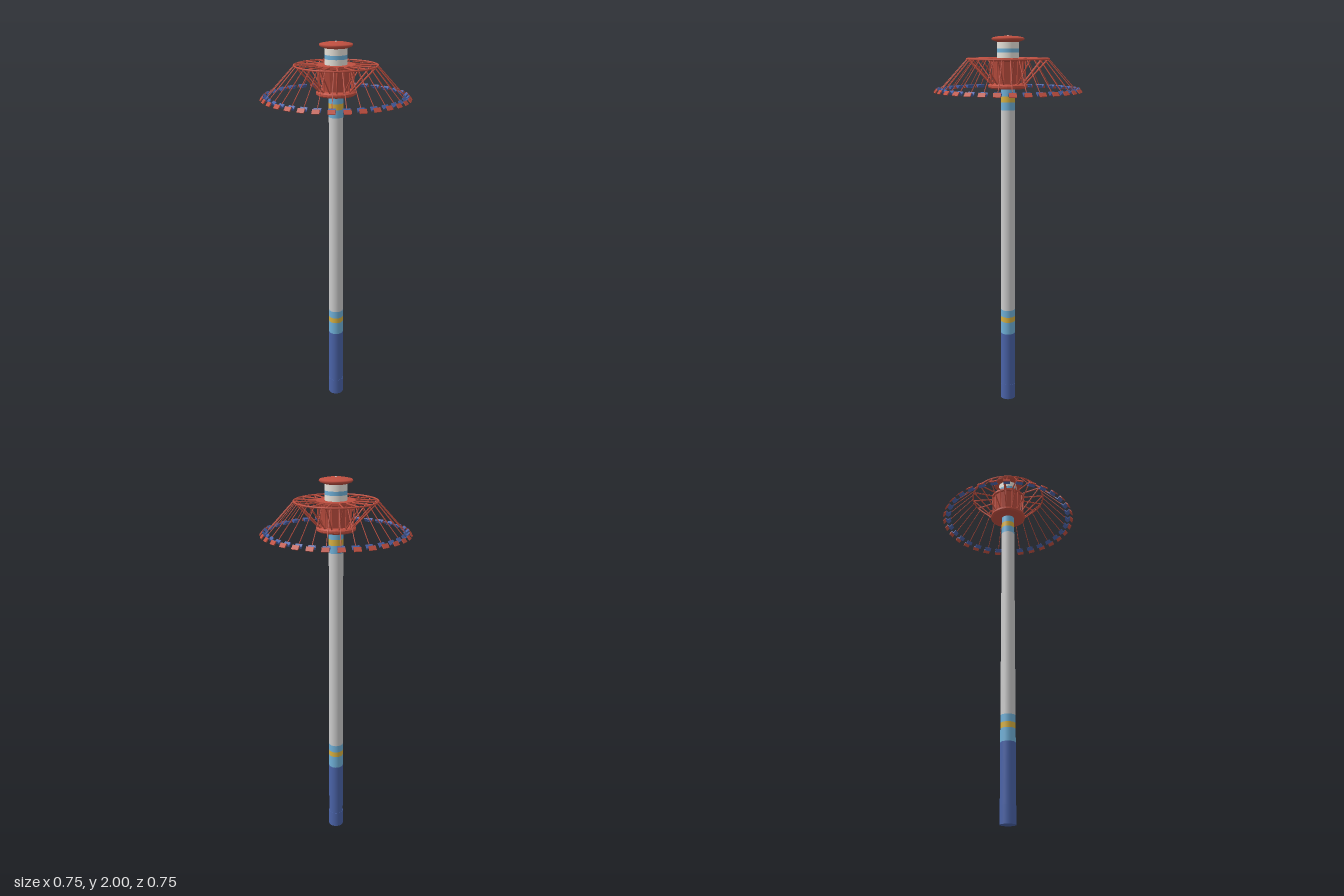
import * as THREE from 'three';

const mat = (color, flatShading = false) =>
  new THREE.MeshStandardMaterial({ color, flatShading, side: THREE.DoubleSide });
const red = mat(0xbf4f40), redFlat = mat(0xbf4f40, true), blue = mat(0x4a63a8);
const sky = mat(0x6fb0d8), yellow = mat(0xd8b040), grey = mat(0xcccccc), white = mat(0xe6e2da);

function add(parent, name, geometry, material) {
  const mesh = new THREE.Mesh(geometry, material);
  mesh.name = name;
  parent.add(mesh);
  return mesh;
}

// Straight bar between two [radius, height] points in the x-y plane
function bar(parent, name, a, b, radius, sides = 6) {
  const d = new THREE.Vector3(b[0] - a[0], b[1] - a[1], 0);
  const mesh = add(parent, name, new THREE.CylinderGeometry(radius, radius, d.length(), sides), red);
  mesh.position.set((a[0] + b[0]) / 2, (a[1] + b[1]) / 2, 0);
  mesh.quaternion.setFromUnitVectors(new THREE.Vector3(0, 1, 0), d.normalize());
  return mesh;
}

// Thin slab following two [radius, height] points, spanning the seat width
function slab(parent, name, a, b, material) {
  const dx = b[0] - a[0], dy = b[1] - a[1];
  const mesh = add(parent, name, new THREE.BoxGeometry(Math.hypot(dx, dy) + 0.003, 0.005, 0.036), material);
  mesh.position.set((a[0] + b[0]) / 2, (a[1] + b[1]) / 2, 0);
  mesh.rotation.z = Math.atan2(dy, dx);
}

const lathe = (points, segments) =>
  new THREE.LatheGeometry(points.map(p => new THREE.Vector2(...p)), segments);

export function createModel() {
  const model = new THREE.Group();
  model.name = 'swingTower';

  // Slightly tapering mast built from painted bands
  const mastRadius = y => 0.04 - 0.0022 * y;
  const bands = [[0, 0.4, blue], [0.4, 0.47, sky], [0.47, 0.5, yellow], [0.5, 0.54, sky],
    [0.54, 1.63, grey], [1.63, 1.67, sky], [1.67, 1.7, yellow], [1.7, 1.76, sky]];
  for (const [y0, y1, material] of bands) {
    const geometry = new THREE.CylinderGeometry(mastRadius(y1), mastRadius(y0), y1 - y0, 32);
    add(model, 'mastBand', geometry, material).position.y = (y0 + y1) / 2;
  }
  add(model, 'mastFoot', new THREE.CylinderGeometry(0.041, 0.041, 0.09, 32), blue).position.y = 0.045;

  // Carousel hub: lower platform and flaring faceted drum
  add(model, 'hubPlatform', lathe([[0.03, 1.738], [0.09, 1.738], [0.099, 1.745],
    [0.099, 1.755], [0.09, 1.762], [0.03, 1.762]], 32), redFlat);
  add(model, 'hubDrum', lathe([[0.03, 1.758], [0.062, 1.758], [0.088, 1.872],
    [0.097, 1.876], [0.097, 1.888], [0.03, 1.888]], 16), redFlat);

  // Crown: striped neck and domed cap with a small finial
  for (const [y0, y1, material] of [[1.885, 1.915, white], [1.915, 1.935, sky], [1.935, 1.966, white]])
    add(model, 'crownNeck', new THREE.CylinderGeometry(0.055, 0.055, y1 - y0, 32), material)
      .position.y = (y0 + y1) / 2;
  add(model, 'crownCap', lathe([[0, 1.964], [0.055, 1.966], [0.078, 1.974], [0.083, 1.981],
    [0.08, 1.987], [0.045, 1.994], [0, 1.996]], 40), red);
  add(model, 'finial', new THREE.SphereGeometry(0.007, 12, 8), grey).position.y = 1.993;

  // Outer ring that carries the swings
  const ring = add(model, 'outerRing', new THREE.TorusGeometry(0.206, 0.0045, 8, 64), red);
  ring.rotation.x = Math.PI / 2;
  ring.position.y = 1.884;

  // Spokes, diagonal braces and drum ribs
  for (let i = 0; i < 16; i++) {
    const frame = new THREE.Group();
    frame.name = 'ringSupport';
    frame.rotation.y = i * Math.PI / 8;
    bar(frame, 'spoke', [0.08, 1.884], [0.206, 1.884], 0.004);
    bar(frame, 'brace', [0.086, 1.757], [0.204, 1.882], 0.0035);
    bar(frame, 'drumRib', [0.086, 1.757], [0.092, 1.88], 0.0035);
    model.add(frame);
  }

  // Swings flung outward, each with a hanger and a tilted seat
  for (let i = 0; i < 32; i++) {
    const swing = new THREE.Group();
    swing.name = 'swing';
    swing.rotation.y = (i + 0.5) * Math.PI / 16;
    bar(swing, 'hanger', [0.207, 1.882], [0.337, 1.74], 0.0022, 5);
    slab(swing, 'seatBack', [0.335, 1.739], [0.346, 1.727], blue);
    slab(swing, 'seatPan', [0.346, 1.725], [0.361, 1.738], blue);
    slab(swing, 'legRest', [0.362, 1.738], [0.374, 1.723], red);
    model.add(swing);
  }
  return model;
}
